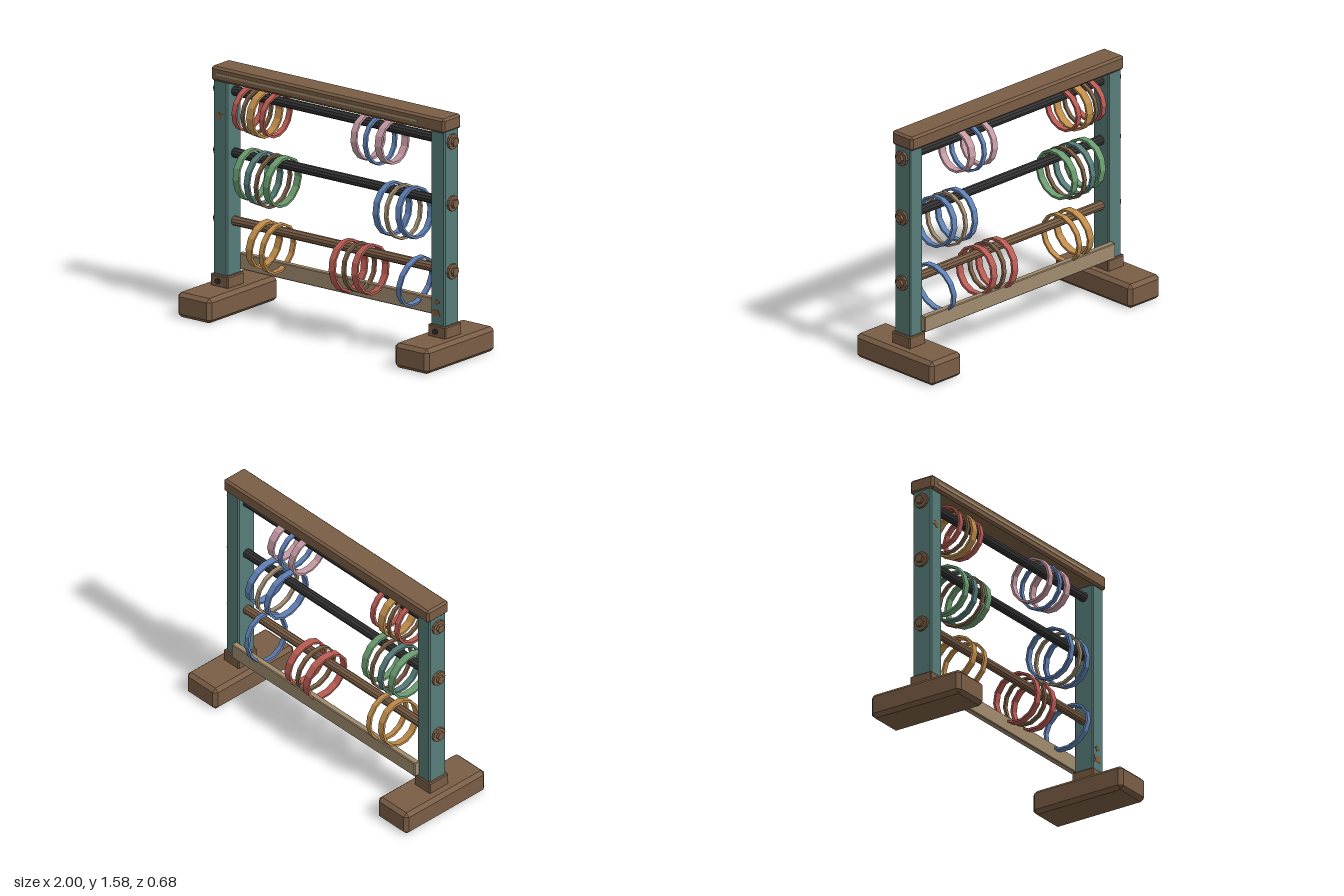
import * as THREE from 'three';
import { ConvexGeometry } from 'three/addons/geometries/ConvexGeometry.js';

const paint = (name, color) => {
  const m = new THREE.MeshStandardMaterial({ color, flatShading: true });
  m.name = name;
  return m;
};

// Box with chamfered edges
function chamferBox(w, h, d, c) {
  const pts = [];
  for (const x of [-1, 1]) for (const y of [-1, 1]) for (const z of [-1, 1]) {
    const [a, b, e] = [w / 2, h / 2, d / 2];
    pts.push(new THREE.Vector3(x * a, y * (b - c), z * (e - c)));
    pts.push(new THREE.Vector3(x * (a - c), y * b, z * (e - c)));
    pts.push(new THREE.Vector3(x * (a - c), y * (b - c), z * e));
  }
  return new ConvexGeometry(pts);
}

// Faceted band whose axis lies along x
function bandGeometry(radius, width, thick = 0.015) {
  const h = width / 2, r = radius - thick;
  const profile = [[radius, -h], [radius, h], [r, h], [r, -h], [radius, -h]];
  return new THREE.LatheGeometry(profile.map(p => new THREE.Vector2(...p)), 14).rotateZ(Math.PI / 2);
}

// Ragged flat patch
function patchGeometry(radius, seed) {
  const pts = [];
  for (let i = 0; i < 11; i++) {
    const a = i / 11 * Math.PI * 2;
    const r = radius * (0.75 + 0.3 * Math.sin(seed + i * 2.4));
    pts.push(new THREE.Vector2(Math.cos(a) * r, Math.sin(a) * r * 0.8));
  }
  return new THREE.ExtrudeGeometry(new THREE.Shape(pts), { depth: 0.003, bevelEnabled: false });
}

export function createModel() {
  const model = new THREE.Group();
  model.name = 'braceletRack';
  const mat = {
    brown: paint('walnutBrown', 0x7a5d45),
    teal: paint('tealPaint', 0x567c78),
    tan: paint('paleWood', 0xa08b6e),
    black: paint('blackMetal', 0x333333),
    rust: paint('wornRust', 0x8a5a36),
    red: paint('red', 0xb85b52),
    gold: paint('gold', 0xc18d4b),
    pink: paint('pink', 0xc59aa3),
    blue: paint('blue', 0x5f80b4),
    green: paint('green', 0x6b9c70),
  };
  const add = (name, geometry, material, x, y, z) => {
    const mesh = new THREE.Mesh(geometry, material);
    mesh.name = name;
    mesh.position.set(x, y, z);
    model.add(mesh);
    return mesh;
  };
  const rodYs = [1.42, 1.02, 0.58];

  // Feet, sockets, posts and bolts on both sides
  for (const s of [-1, 1]) {
    const side = s > 0 ? 'left' : 'right';
    const x = s * 0.865;
    add(side + 'Foot', chamferBox(0.27, 0.16, 0.68, 0.024), mat.brown, x, 0.08, 0);
    add(side + 'Socket', chamferBox(0.14, 0.08, 0.16, 0.006), mat.brown, x, 0.195, 0);
    add(side + 'Post', chamferBox(0.112, 1.27, 0.14, 0.008), mat.teal, x, 0.865, 0);
    const stem = new THREE.CylinderGeometry(0.008, 0.008, 0.02, 8).rotateX(Math.PI / 2);
    add(side + 'SocketBoltStem', stem, mat.black, x, 0.2, 0.085);
    const head = new THREE.CylinderGeometry(0.018, 0.018, 0.014, 8).rotateX(Math.PI / 2);
    add(side + 'SocketBoltHead', head, mat.black, x, 0.2, 0.097);
    for (const y of rodYs) {
      const washer = new THREE.CylinderGeometry(0.05, 0.05, 0.018, 10).rotateZ(Math.PI / 2);
      add(side + 'RodWasher', washer, mat.brown, s * 0.928, y, 0);
      const nut = new THREE.CylinderGeometry(0.029, 0.029, 0.02, 6).rotateZ(Math.PI / 2);
      add(side + 'RodNut', nut, mat.brown, s * 0.946, y, 0);
    }
  }

  // Top beam with its front inlay, and the rear stretcher
  add('topBeam', chamferBox(1.855, 0.094, 0.178, 0.014), mat.brown, 0, 1.533, 0);
  add('beamInlay', new THREE.BoxGeometry(1.6, 0.015, 0.006), mat.tan, -0.08, 1.535, 0.09);
  add('rearStretcher', chamferBox(1.66, 0.104, 0.042, 0.005), mat.tan, 0, 0.3, -0.088);

  // Rods
  rodYs.forEach((y, i) => {
    const rod = new THREE.CylinderGeometry(0.031, 0.031, 1.7, 10).rotateZ(Math.PI / 2);
    add('rod', rod, i < 2 ? mat.black : mat.brown, 0, y, 0);
  });

  // Worn paint on the post fronts
  [[-0.87, 1.265, 0.032], [0.855, 0.385, 0.026], [0.852, 0.312, 0.04]].forEach(([x, y, r], i) =>
    add('wornPatch', patchGeometry(r, i * 1.7), mat.rust, x, y, 0.0695));

  // Bracelets: colour, top x, bottom x, bottom y, width
  const rows = [
    [['red', -0.69, -0.705, 1.18, 0.036], ['brown', -0.625, -0.632, 1.17, 0.024],
      ['gold', -0.565, -0.567, 1.163, 0.052], ['red', -0.469, -0.488, 1.18, 0.036],
      ['pink', 0.24, 0.272, 1.177, 0.044], ['blue', 0.337, 0.365, 1.163, 0.03],
      ['pink', 0.439, 0.455, 1.187, 0.052]],
    [['green', -0.677, -0.656, 0.74, 0.046], ['teal', -0.575, -0.578, 0.725, 0.04],
      ['brown', -0.492, -0.51, 0.717, 0.025], ['green', -0.417, -0.437, 0.74, 0.046],
      ['blue', 0.44, 0.46, 0.725, 0.041], ['tan', 0.522, 0.55, 0.717, 0.026],
      ['blue', 0.605, 0.648, 0.74, 0.042]],
    [['gold', -0.552, -0.588, 0.318, 0.046], ['gold', -0.453, -0.477, 0.3, 0.034],
      ['red', 0.085, 0.114, 0.295, 0.047], ['brown', 0.173, 0.196, 0.31, 0.028],
      ['red', 0.259, 0.288, 0.31, 0.047], ['blue', 0.662, 0.603, 0.298, 0.034]],
  ];
  rows.forEach((row, i) => row.forEach(([color, topX, lowX, lowY, width]) => {
    const topY = rodYs[i] + 0.049;
    const dx = topX - lowX, dy = topY - lowY;
    const band = bandGeometry(Math.hypot(dx, dy) / 2, width);
    const mesh = add('bracelet', band, mat[color], (topX + lowX) / 2, (topY + lowY) / 2, 0);
    mesh.rotation.z = -Math.atan2(dx, dy);
  }));

  return model;
}
